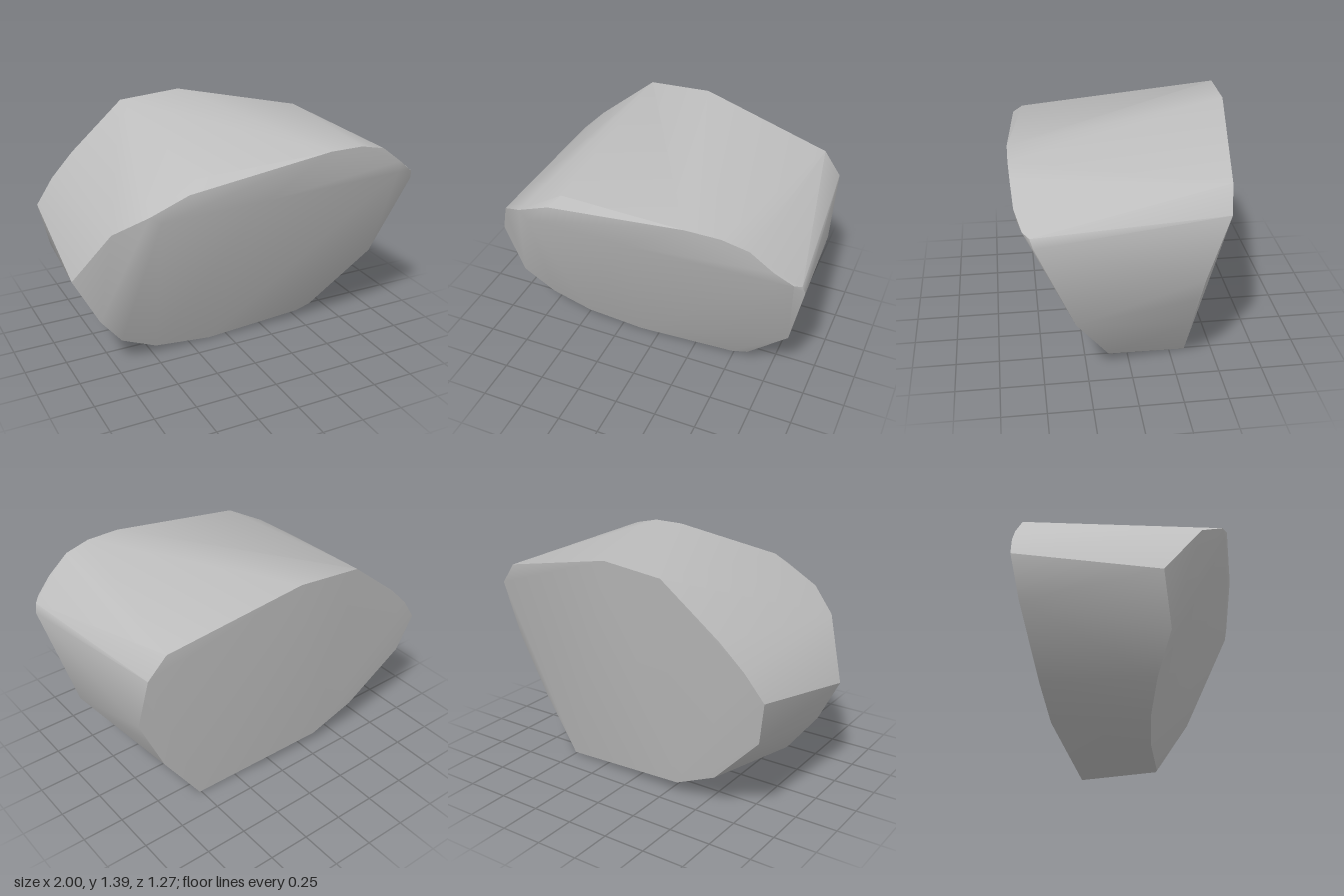
import * as THREE from 'three';
import { ConvexGeometry } from 'three/addons/geometries/ConvexGeometry.js';
import { toCreasedNormals } from 'three/addons/utils/BufferGeometryUtils.js';

// Corners of the slanted front face, anticlockwise from the bottom
const frontRim = [
  [-0.12, 0.005, 0.12], [0.5, 0.05, 0.13], [0.6, 0.07, 0.12], [0.89, 0.48, 0.325],
  [1, 1.02, 0.535], [0.985, 1.07, 0.55], [0.95, 1.09, 0.585], [0.85, 1.17, 0.62],
  [0.72, 1.27, 0.63], [0.57, 1.305, 0.635], [0.37, 1.305, 0.635], [-0.45, 1.18, 0.585],
  [-0.66, 1.08, 0.55], [-0.83, 0.965, 0.43], [-1, 0.64, 0.23], [-0.86, 0.37, 0.26],
  [-0.71, 0.17, 0.18], [-0.48, 0.05, 0.135],
];

// Corners of the back face, in the same order
const backRim = [
  [-0.32, 0.08, -0.42], [0.51, 0, -0.34], [0.74, 0.34, -0.33], [0.84, 0.56, -0.335],
  [0.908, 0.72, -0.36], [0.905, 1.09, -0.48], [0.8, 1.22, -0.5], [0.02, 1.39, -0.615],
  [-0.36, 1.36, -0.635], [-0.7, 1.08, -0.605], [-0.84, 0.94, -0.59], [-0.95, 0.79, -0.57],
  [-0.9, 0.535, -0.52], [-0.59, 0.21, -0.45],
];

// Bend where the front face turns upright, and a corner behind its upper edge
const brow = [[-0.6, 1.04, 0.565], [0, 1.07, 0.595], [0.85, 1.1, 0.608], [-0.39, 1.24, 0.53]];

export function createModel() {
  const stone = new THREE.MeshStandardMaterial({ color: 0xbebebe });
  stone.name = 'stone grey';

  // One convex boulder with smooth flanks and sharp rims
  const corners = [...frontRim, ...backRim, ...brow].map((p) => new THREE.Vector3(...p));
  const boulder = new THREE.Mesh(toCreasedNormals(new ConvexGeometry(corners), 0.6), stone);
  boulder.name = 'boulder';

  const model = new THREE.Group();
  model.name = 'rock';
  model.add(boulder);
  return model;
}
